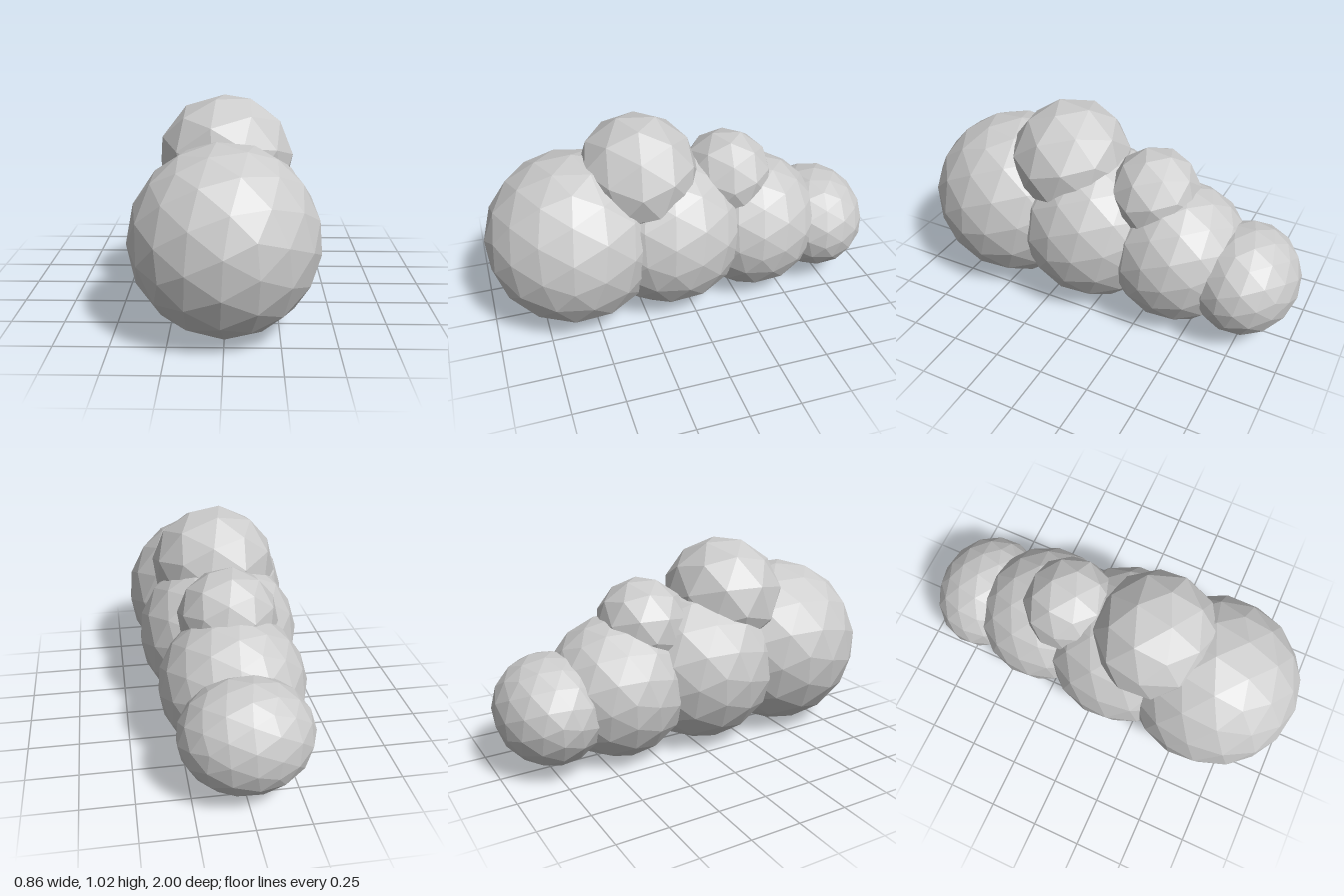
import * as THREE from 'three';

export function createModel() {
  const group = new THREE.Group();
  const material = new THREE.MeshStandardMaterial({ color: 0xcccccc, flatShading: true });

  // Faceted ball, turned before it is stretched so its radii stay on the axes
  function ball(name, [x, y, z], [rx, ry, rz], detail, [ax, ay, az]) {
    const geometry = new THREE.IcosahedronGeometry(1, detail);
    geometry.rotateX(ax).rotateY(ay).rotateZ(az);
    geometry.scale(rx, ry, rz);
    geometry.computeVertexNormals();
    const mesh = new THREE.Mesh(geometry, material);
    mesh.name = name;
    mesh.position.set(x, y, z);
    group.add(mesh);
  }

  // Row of large lobes, shrinking from front to back
  ball('frontLobe', [0, 0.437, 0.565], [0.434, 0.436, 0.436], 2, [0.3, 0.35, 0.06]);
  ball('middleLobe', [0, 0.41, 0.083], [0.408, 0.408, 0.408], 2, [0.3, 0.35, 0.06]);
  ball('rearLobe', [0, 0.36, -0.378], [0.356, 0.358, 0.356], 2, [0.3, 0.35, 0.06]);
  ball('tailLobe', [0, 0.315, -0.735], [0.312, 0.268, 0.267], 2, [0.3, 0.35, 0.06]);

  // Coarser lobes resting on top
  ball('largeTopLobe', [0, 0.735, 0.228], [0.32, 0.302, 0.302], 1, [0.3, 0.35, 0.25]);
  ball('smallTopLobe', [0, 0.65, -0.235], [0.243, 0.237, 0.23], 1, [0.3, 0.35, 0.25]);

  return group;
}
